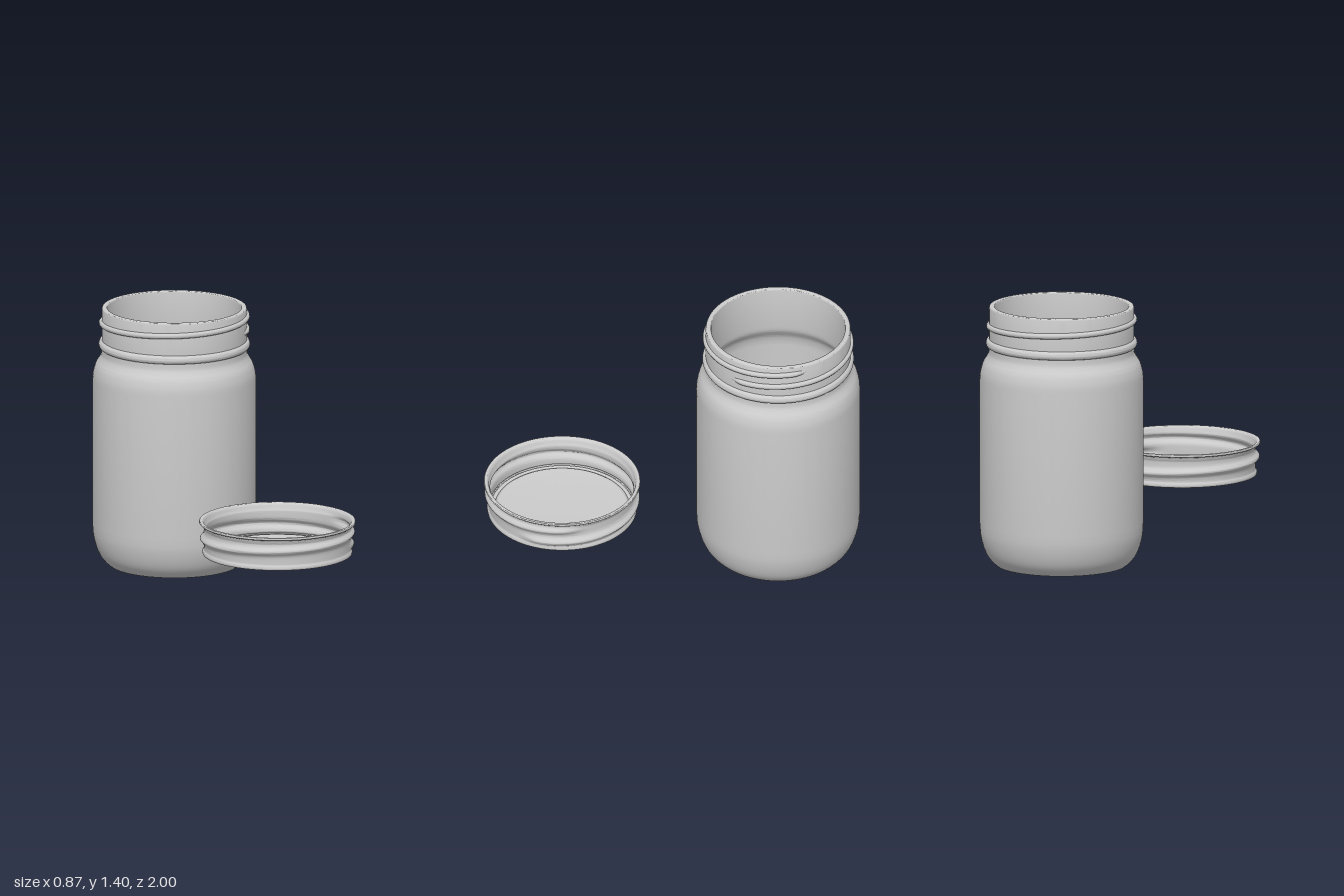
import * as THREE from 'three';
import { toCreasedNormals } from 'three/addons/utils/BufferGeometryUtils.js';

const material = new THREE.MeshStandardMaterial({ color: 0xcccccc, side: THREE.DoubleSide });
const SEGMENTS = 96;

// Each run is a smooth curve through [radius, y] points; runs meet at crisp edges.
function profile(runs) {
  const out = [];
  for (const run of runs) {
    const pts = run.map(([r, y]) => new THREE.Vector2(r, y));
    const smooth = pts.length > 2 ? new THREE.SplineCurve(pts).getPoints((pts.length - 1) * 4) : pts;
    for (const p of smooth) {
      p.x = Math.max(p.x, 0);
      if (!out.length || out[out.length - 1].distanceTo(p) > 1e-5) out.push(p);
    }
  }
  return out;
}

function addMesh(parent, name, geometry) {
  const mesh = new THREE.Mesh(geometry, material);
  mesh.name = name;
  parent.add(mesh);
  return mesh;
}

// Spiral thread shared by the jar and the lid: start angle, end angle, rise per turn.
const START = Math.PI * 0.25;
const END = Math.PI * 2.6;
const PITCH = 0.072;

class ThreadCurve extends THREE.Curve {
  getPoint(t, target = new THREE.Vector3()) {
    const a = START + t * (END - START);
    // Both ends sink into the neck wall
    const fade = THREE.MathUtils.smoothstep(Math.min(t, 1 - t), 0, 0.025);
    const r = 0.37 + 0.015 * fade;
    return target.set(r * Math.sin(a), 1.275 + PITCH * (a - START) / (Math.PI * 2), r * Math.cos(a));
  }
}

function createJar() {
  const jar = new THREE.Group();
  jar.name = 'jar';

  // Glass: underside, outer wall, neck bead, rim, then inner wall and floor
  const glass = profile([
    [[0, 0.035], [0.15, 0.033], [0.27, 0.022], [0.32, 0.008], [0.335, 0]],
    [[0.335, 0], [0.347, 0.003]],
    [[0.347, 0.003], [0.37, 0.023], [0.398, 0.06], [0.418, 0.11], [0.431, 0.17], [0.435, 0.23]],
    [[0.435, 0.23], [0.435, 1.0]],
    [[0.435, 1.0], [0.431, 1.045], [0.418, 1.09], [0.4, 1.12], [0.388, 1.145], [0.385, 1.178]],
    [[0.385, 1.178], [0.396, 1.183], [0.402, 1.2], [0.396, 1.217], [0.385, 1.224]],
    [[0.385, 1.224], [0.385, 1.388]],
    [[0.385, 1.388], [0.382, 1.397], [0.375, 1.4]],
    [[0.375, 1.4], [0.364, 1.4]],
    [[0.364, 1.4], [0.357, 1.397], [0.355, 1.388]],
    [[0.355, 1.388], [0.355, 1.17]],
    [[0.355, 1.17], [0.36, 1.13], [0.377, 1.1], [0.395, 1.07], [0.404, 1.03], [0.405, 1.0]],
    [[0.405, 1.0], [0.405, 0.23]],
    [[0.405, 0.23], [0.4, 0.17], [0.385, 0.115], [0.36, 0.075], [0.32, 0.055], [0.25, 0.058], [0.13, 0.064], [0, 0.066]],
  ]);
  addMesh(jar, 'glassBody', toCreasedNormals(new THREE.LatheGeometry(glass, SEGMENTS), 0.6));
  addMesh(jar, 'neckThread', new THREE.TubeGeometry(new ThreadCurve(), 180, 0.0155, 10));
  return jar;
}

// Outward bulge of the lid's pressed spiral at a given angle and height
function lidBulge(angle, y) {
  let bulge = 0;
  for (let a = angle; a <= END; a += Math.PI * 2) {
    if (a < START) continue;
    const fade = THREE.MathUtils.smoothstep(Math.min(a - START, END - a), 0, 0.45);
    const d = (y - (0.345 + PITCH * (a - START) / (Math.PI * 2))) / 0.02;
    bulge += fade * Math.exp(-d * d);
  }
  return bulge;
}

function createLid() {
  const lid = new THREE.Group();
  lid.name = 'lid';

  // Outer and inner skin of the sheet metal, with straight wall runs cut into steps
  const steps = (r, y0, y1) => Array.from({ length: 9 }, (_, i) => [r, y0 + (y1 - y0) * i / 8]);
  const shell = profile([
    [[0, 0.309], [0.3, 0.309]],
    [[0.3, 0.309], [0.325, 0.311], [0.342, 0.312], [0.35, 0.306], [0.36, 0.3]],
    [[0.36, 0.3], [0.39, 0.3]],
    [[0.39, 0.3], [0.396, 0.302], [0.398, 0.308]],
    steps(0.398, 0.308, 0.455),
    [[0.398, 0.455], [0.4, 0.463], [0.41, 0.466]],
    [[0.41, 0.466], [0.415, 0.472], [0.413, 0.48], [0.405, 0.482], [0.395, 0.478], [0.389, 0.466]],
    [[0.389, 0.466], [0.388, 0.455]],
    steps(0.388, 0.455, 0.318),
    [[0.388, 0.318], [0.386, 0.311], [0.38, 0.309]],
    [[0.38, 0.309], [0.362, 0.309]],
    [[0.362, 0.309], [0.352, 0.315], [0.342, 0.321], [0.325, 0.32], [0.3, 0.318]],
    [[0.3, 0.318], [0, 0.318]],
  ]);
  const geometry = new THREE.LatheGeometry(shell, SEGMENTS);

  // Press the spiral into the wall
  const pos = geometry.attributes.position;
  for (let i = 0; i < pos.count; i++) {
    const x = pos.getX(i), y = pos.getY(i), z = pos.getZ(i);
    const r = Math.hypot(x, z);
    if (r < 0.387 || y < 0.318 || y > 0.456) continue;
    const angle = (Math.atan2(x, z) + Math.PI * 2) % (Math.PI * 2);
    const edge = THREE.MathUtils.smoothstep(Math.min(y - 0.31, 0.458 - y), 0, 0.02);
    const k = (r + edge * (0.021 * lidBulge(angle, y) - 0.008)) / r;
    pos.setXYZ(i, x * k, y, z * k);
  }
  addMesh(lid, 'lidShell', toCreasedNormals(geometry, 0.8));

  // Sealing ring lying in the channel around the raised panel
  const seal = addMesh(lid, 'sealingRing', new THREE.TorusGeometry(0.368, 0.012, 8, SEGMENTS));
  seal.rotation.x = Math.PI / 2;
  seal.scale.z = 0.5;
  seal.position.y = 0.311;
  return lid;
}

export function createModel() {
  const model = new THREE.Group();
  model.name = 'jarWithLid';
  const jar = createJar();
  jar.position.z = -0.565;
  const lid = createLid();
  lid.position.set(-0.003, 0, 0.585);
  model.add(jar, lid);
  return model;
}
